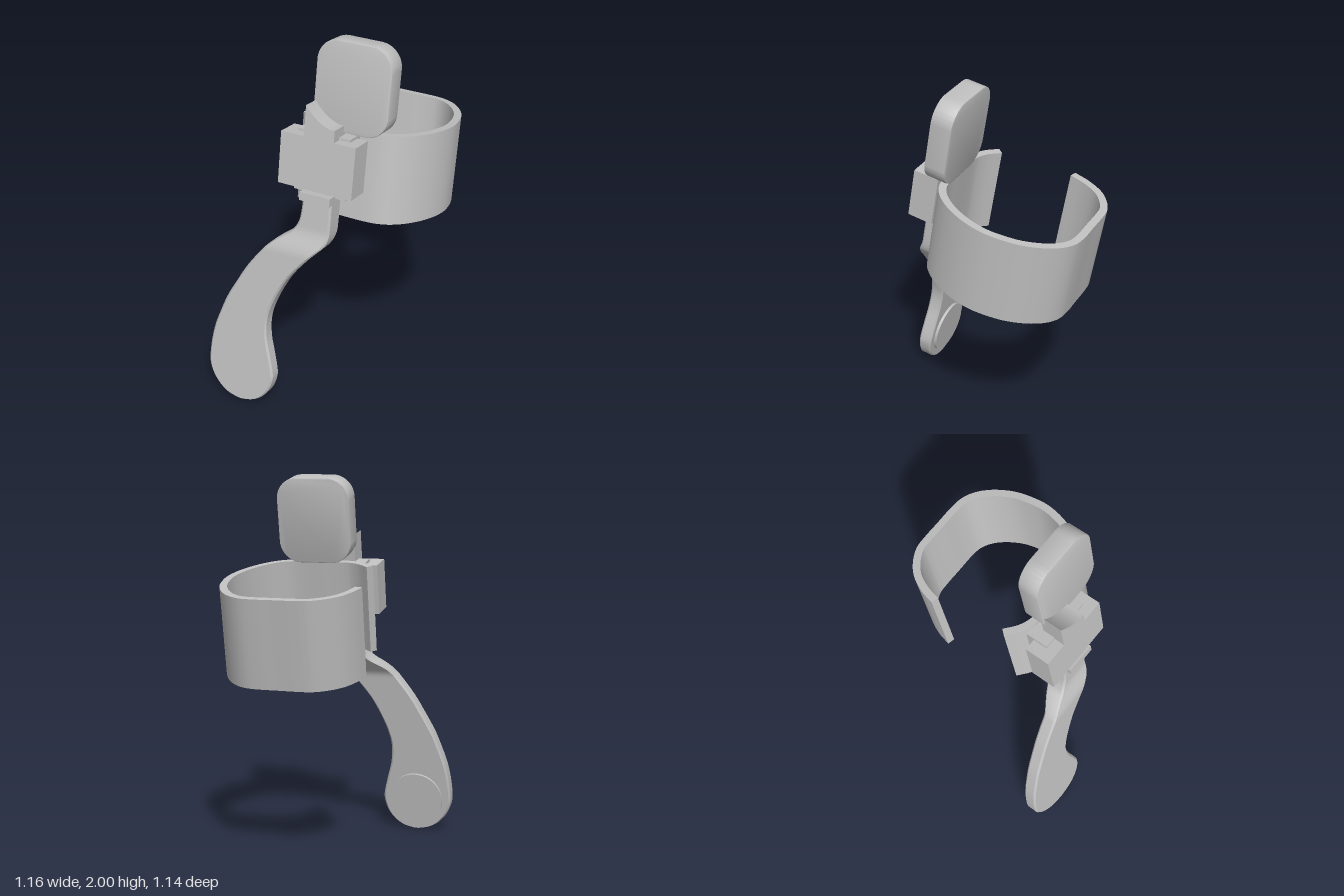
import * as THREE from 'three';
import { toCreasedNormals } from 'three/addons/utils/BufferGeometryUtils.js';

const grey = new THREE.MeshStandardMaterial({ color: 0xc0c0c0 });
grey.name = 'grey plastic';

function part(parent, name, geometry, crease = 0.6) {
  const mesh = new THREE.Mesh(toCreasedNormals(geometry, crease), grey);
  mesh.name = name;
  parent.add(mesh);
  return mesh;
}

// Box given by its limits on each axis
function block(parent, name, [x0, x1], [y0, y1], [z0, z1]) {
  const g = new THREE.BoxGeometry(x1 - x0, y1 - y0, z1 - z0);
  g.translate((x0 + x1) / 2, (y0 + y1) / 2, (z0 + z1) / 2);
  return part(parent, name, g);
}

// Open C-shaped band: outer contour (x, z) offset inwards and extruded upwards
function bandGeometry() {
  const pts = [
    [-0.223, -0.056], [-0.202, -0.143], [-0.157, -0.233], [-0.092, -0.292], [-0.025, -0.324],
    [0.04, -0.33], [0.15, -0.33], [0.26, -0.33], [0.33, -0.32], [0.39, -0.289], [0.453, -0.225],
    [0.513, -0.116], [0.54, 0], [0.545, 0.075], [0.533, 0.16], [0.505, 0.245], [0.455, 0.335],
    [0.39, 0.403], [0.33, 0.433], [0.26, 0.444], [0.15, 0.444], [0.04, 0.444], [-0.025, 0.438],
    [-0.092, 0.408], [-0.157, 0.354],
  ];
  const curve = new THREE.CatmullRomCurve3(pts.map(([x, z]) => new THREE.Vector3(x, 0, z)));
  const outer = [], inner = [], n = 96, thick = 0.039;
  for (let i = 0; i <= n; i++) {
    const p = curve.getPoint(i / n), t = curve.getTangent(i / n);
    outer.push(new THREE.Vector2(p.x, -p.z));
    inner.unshift(new THREE.Vector2(p.x - t.z * thick, -(p.z + t.x * thick)));
  }
  const g = new THREE.ExtrudeGeometry(new THREE.Shape([...outer, ...inner]), { depth: 0.465, bevelEnabled: false });
  g.rotateX(-Math.PI / 2);
  g.translate(0, 1.035, 0);
  return g;
}

// Lever: stacked chamfered sections, stepping back into the narrow neck
function leverGeometry() {
  const rows = [ // height, left edge, right edge
    [-0.084, -0.31, -0.265], [-0.07, -0.367, -0.208], [-0.043, -0.412, -0.166], [0, -0.452, -0.131],
    [0.05, -0.478, -0.111], [0.11, -0.488, -0.104], [0.21, -0.482, -0.127], [0.31, -0.464, -0.153],
    [0.41, -0.432, -0.16], [0.5, -0.398, -0.142], [0.6, -0.347, -0.102], [0.7, -0.292, -0.048],
    [0.8, -0.222, 0.03], [0.86, -0.172, 0.085], [0.9, -0.125, 0.12], [0.94, -0.072, 0.135],
    [1.0, -0.036, 0.139], [1.08, -0.024, 0.139], [1.2, -0.018, 0.139],
  ];
  const edge = (k) => new THREE.CatmullRomCurve3(rows.map((r) => new THREE.Vector3(r[k], r[0], 0)), false, 'catmullrom');
  const left = edge(1), right = edge(2), n = 72, c = 0.01, pos = [], idx = [];
  for (let j = 0; j <= n; j++) {
    const a = left.getPoint(j / n), l = a.x, r = right.getPoint(j / n).x;
    const s = THREE.MathUtils.smoothstep(a.y, 0.82, 0.98);
    const f = 0.61 - 0.038 * s, b = 0.535 - 0.075 * s;
    const ring = [[l + c, f], [r - c, f], [r, f - c], [r, b + c], [r - c, b], [l + c, b], [l, b + c], [l, f - c]];
    for (const [x, z] of ring) pos.push(x, a.y, z);
  }
  for (let j = 0; j < n; j++) for (let i = 0; i < 8; i++) {
    const p = j * 8 + i, q = j * 8 + (i + 1) % 8;
    idx.push(p, q, q + 8, p, q + 8, p + 8);
  }
  for (let i = 1; i < 7; i++) idx.push(0, i + 1, i, n * 8, n * 8 + i, n * 8 + i + 1);
  const g = new THREE.BufferGeometry();
  g.setAttribute('position', new THREE.Float32BufferAttribute(pos, 3));
  g.setIndex(idx);
  return g;
}

// Upright pad with rounded corners
function padGeometry() {
  const x0 = -0.028, x1 = 0.371, y0 = 1.495, y1 = 1.95, r = 0.115, b = 0.006;
  const s = new THREE.Shape();
  const corner = (x, y, a) => s.absarc(x, y, r - b, a, a + Math.PI / 2, false);
  corner(x1 - r, y1 - r, 0);
  corner(x0 + r, y1 - r, Math.PI / 2);
  corner(x0 + r, y0 + r, Math.PI);
  corner(x1 - r, y0 + r, Math.PI * 1.5);
  s.closePath();
  const g = new THREE.ExtrudeGeometry(s, {
    depth: 0.115 - 2 * b, bevelSize: b, bevelThickness: b, bevelSegments: 2, curveSegments: 12,
  });
  g.translate(0, 0, 0.396 + b);
  return g;
}

// Small thumb catch with a hollowed slope
function catchGeometry() {
  const s = new THREE.Shape();
  s.moveTo(-0.018, 1.465);
  s.lineTo(0.145, 1.465);
  s.lineTo(0.145, 1.532);
  s.lineTo(0.125, 1.532);
  s.quadraticCurveTo(0.05, 1.545, -0.018, 1.628);
  s.closePath();
  const g = new THREE.ExtrudeGeometry(s, { depth: 0.125, bevelEnabled: false, curveSegments: 12 });
  g.translate(0, 0, 0.487);
  return g;
}

export function createModel() {
  const model = new THREE.Group();
  model.name = 'cuffWithLever';

  // Everything is built upright, then turned and leaned back
  const body = new THREE.Group();
  body.name = 'body';
  body.rotation.set(-Math.PI / 18, -Math.PI / 18, 0, 'YXZ');
  model.add(body);

  part(body, 'band', bandGeometry());
  block(body, 'housing', [-0.143, 0.262], [1.2, 1.47], [0.475, 0.612]);
  block(body, 'housingCore', [-0.08, 0.205], [1.165, 1.484], [0.43, 0.555]);
  block(body, 'neckFlange', [-0.018, 0.15], [1.137, 1.18], [0.46, 0.616]);
  part(body, 'lever', leverGeometry());
  part(body, 'thumbPad', padGeometry());
  part(body, 'catch', catchGeometry());

  // Round button on the back of the lever tip
  const button = new THREE.CylinderGeometry(0.148, 0.148, 0.03, 48);
  button.rotateX(Math.PI / 2);
  button.translate(-0.295, 0.105, 0.535);
  part(body, 'leverButton', button);

  // Stand on the ground, centred
  model.updateMatrixWorld(true);
  const box = new THREE.Box3().setFromObject(model, true);
  const mid = box.getCenter(new THREE.Vector3());
  body.position.set(-mid.x, -box.min.y, -mid.z);
  return model;
}
